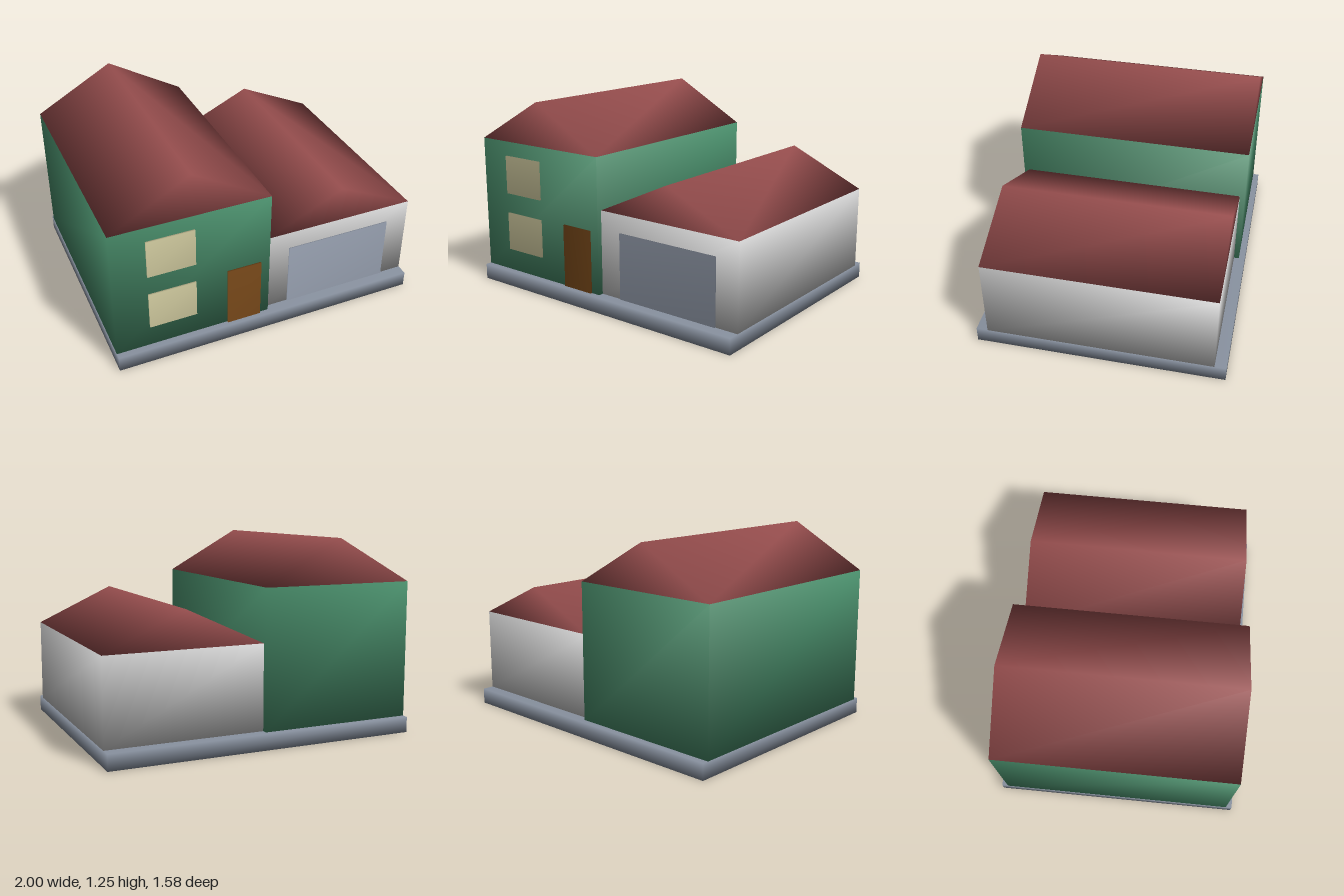
import * as THREE from 'three';
import { mergeVertices } from 'three/addons/utils/BufferGeometryUtils.js';

const COLORS = {
  slab: 0x88919f, green: 0x478a68, wall: 0xcccccc, roof: 0x994f4f,
  glass: 0xcfc99e, wood: 0x7a4a1a, shutter: 0x9aa3b3,
};

// Share corner vertices so normals blend softly across the edges
function soften(geometry) {
  geometry.deleteAttribute('normal');
  geometry.deleteAttribute('uv');
  const merged = mergeVertices(geometry);
  merged.computeVertexNormals();
  return merged;
}

function addPart(group, name, geometry, color) {
  const mesh = new THREE.Mesh(soften(geometry), new THREE.MeshStandardMaterial({ color }));
  mesh.name = name;
  group.add(mesh);
}

// Box given by its limits along each axis
function block([x0, x1], [y0, y1], [z0, z1]) {
  return new THREE.BoxGeometry(x1 - x0, y1 - y0, z1 - z0)
    .translate((x0 + x1) / 2, (y0 + y1) / 2, (z0 + z1) / 2);
}

// Triangular prism with its ridge running along z
function gable([x0, x1], eave, ridge, [z0, z1]) {
  const shape = new THREE.Shape([
    new THREE.Vector2(x0, eave),
    new THREE.Vector2(x1, eave),
    new THREE.Vector2((x0 + x1) / 2, ridge),
  ]);
  return new THREE.ExtrudeGeometry(shape, { depth: z1 - z0, bevelEnabled: false })
    .translate(0, 0, z0);
}

export function createModel() {
  const model = new THREE.Group();
  model.name = 'houseWithGarage';
  const ground = 0.1;

  addPart(model, 'baseSlab', block([-1, 1], [0, ground], [-0.79, 0.79]), COLORS.slab);

  // Two-storey house
  const house = new THREE.Group();
  house.name = 'house';
  const houseX = [-1, 0], houseZ = [-0.75, 0.75];
  addPart(house, 'houseWalls', block(houseX, [ground, 0.97], houseZ), COLORS.green);
  addPart(house, 'houseRoof', gable(houseX, 0.97, 1.25, houseZ), COLORS.roof);
  const windows = { lowerWindow: 0.245, upperWindow: 0.627 };
  for (const [name, sill] of Object.entries(windows)) {
    addPart(house, name, block([-0.785, -0.485], [sill, sill + 0.249], [0.74, 0.762]), COLORS.glass);
  }
  addPart(house, 'frontDoor', block([-0.28, -0.06], [ground, 0.503], [0.74, 0.762]), COLORS.wood);

  // Lower garage beside it
  const garage = new THREE.Group();
  garage.name = 'garage';
  const garageX = [0, 1], garageZ = [-0.717, 0.717];
  addPart(garage, 'garageWalls', block(garageX, [ground, 0.636], garageZ), COLORS.wall);
  addPart(garage, 'garageRoof', gable(garageX, 0.636, 0.867, garageZ), COLORS.roof);
  addPart(garage, 'garageDoor', block([0.15, 0.85], [ground, 0.52], [0.705, 0.725]), COLORS.shutter);

  model.add(house, garage);
  return model;
}
